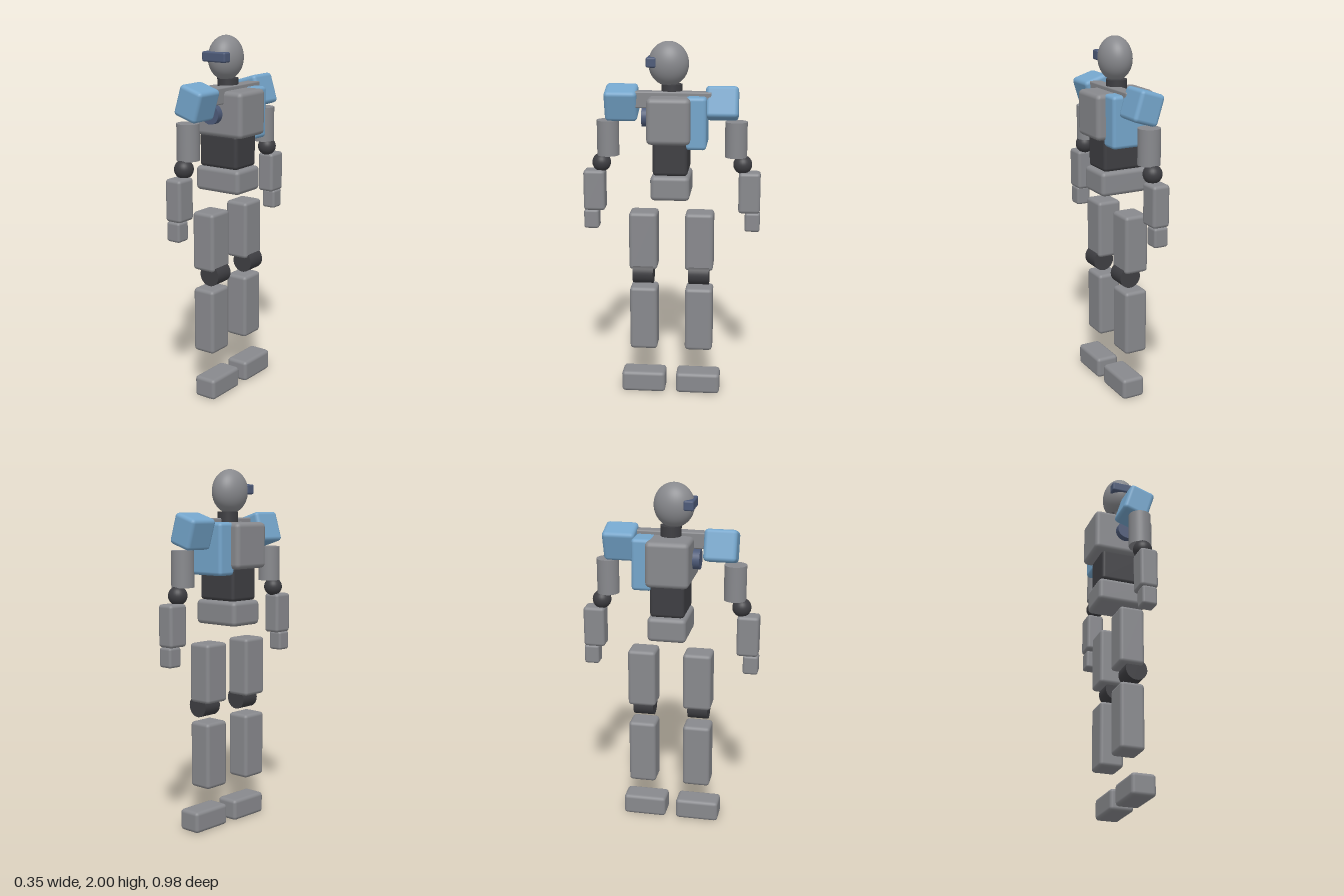
import * as THREE from 'three';
import { RoundedBoxGeometry } from 'three/addons/geometries/RoundedBoxGeometry.js';

export function createModel() {
  const model = new THREE.Group();
  model.name = 'robot';

  const material = (name, color) => {
    const m = new THREE.MeshStandardMaterial({ color });
    m.name = name;
    return m;
  };
  const grey = material('armour grey', 0x88898d);
  const dark = material('joint charcoal', 0x3e3e42);
  const blue = material('plate blue', 0x74a5cb);
  const slate = material('visor slate', 0x4d5a78);

  const add = (name, geometry, mat, x, y, z) => {
    const mesh = new THREE.Mesh(geometry, mat);
    mesh.name = name;
    mesh.position.set(x, y, z);
    model.add(mesh);
    return mesh;
  };
  // Bevelled box: size, centre, bevel
  const box = (name, mat, [w, h, d], [x, y, z], bevel = 0.02) =>
    add(name, new RoundedBoxGeometry(w, h, d, 2, bevel), mat, x, y, z);

  // Head
  add('head', new THREE.SphereGeometry(1, 40, 28), grey, 0, 1.88, 0.017).scale.set(0.09, 0.12, 0.11);
  box('visor', slate, [0.152, 0.055, 0.056], [0, 1.891, 0.106], 0.01);
  add('neck', new THREE.CylinderGeometry(0.057, 0.057, 0.1, 32), dark, 0, 1.72, 0);

  // Trunk
  box('chest', grey, [0.35, 0.25, 0.236], [0, 1.588, 0.007], 0.026);
  box('abdomen', dark, [0.25, 0.19, 0.19], [0, 1.38, 0]);
  box('pelvis', grey, [0.29, 0.136, 0.214], [0, 1.218, 0], 0.024);
  box('backPlate', blue, [0.25, 0.285, 0.115], [0, 1.572, -0.138]);
  box('shoulderBeam', grey, [0.068, 0.09, 0.44], [0.03, 1.69, 0], 0.008);
  const core = add('chestCore', new THREE.CylinderGeometry(0.055, 0.055, 0.06, 32), slate, 0, 1.59, 0.133);
  core.rotation.x = Math.PI / 2;

  // Limbs, mirrored in z
  for (const s of [1, -1]) {
    // Arm
    const pad = box('shoulderPad', blue, [0.147, 0.172, 0.178], [0, 1.668, s * 0.275], 0.022);
    pad.rotation.z = -0.3 * s;
    add('upperArm', new THREE.CylinderGeometry(0.061, 0.061, 0.195, 32), grey, 0, 1.472, s * 0.353);
    add('elbow', new THREE.SphereGeometry(0.052, 28, 20), dark, 0, 1.333, s * 0.391);
    box('forearm', grey, [0.1, 0.228, 0.12], [0, 1.178, s * 0.431], 0.018);
    box('hand', grey, [0.084, 0.108, 0.084], [0, 1.012, s * 0.45], 0.014);

    // Leg
    box('thigh', grey, [0.14, 0.33, 0.158], [0, 0.895, s * 0.157]);
    const knee = add('knee', new THREE.CylinderGeometry(0.061, 0.061, 0.115, 32), dark, 0.03, 0.706, s * 0.157);
    knee.rotation.x = Math.PI / 2;
    box('shin', grey, [0.136, 0.37, 0.156], [0, 0.436, s * 0.157]);
    box('foot', grey, [0.134, 0.12, 0.25], [0.04, 0.06, s * 0.156]);
  }
  return model;
}
